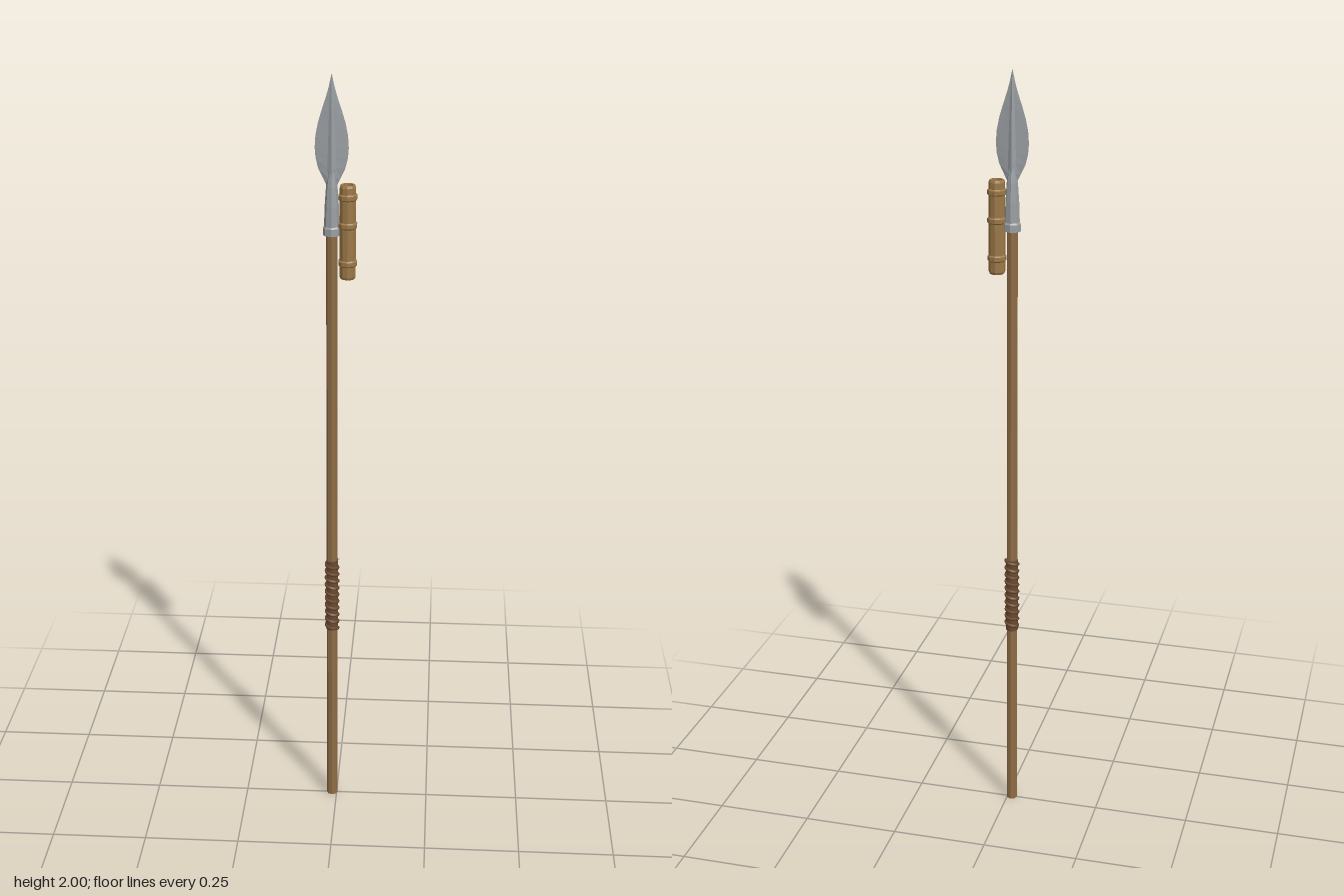
import * as THREE from 'three';

const mat = (color, opts = {}) => new THREE.MeshStandardMaterial({ color, ...opts });

function add(parent, name, geometry, material, y = 0) {
  const mesh = new THREE.Mesh(geometry, material);
  mesh.name = name;
  mesh.position.y = y;
  parent.add(mesh);
  return mesh;
}

const lathe = (pairs, sides) =>
  new THREE.LatheGeometry(pairs.map(([r, y]) => new THREE.Vector2(r, y)), sides);

// Leaf blade: thin ribbed cross-sections [height, half width, half thickness]
function bladeGeometry() {
  const sections = [
    [1.73, 0.011, 0.011], [1.75, 0.021, 0.0105], [1.775, 0.033, 0.01], [1.80, 0.039, 0.0095],
    [1.825, 0.041, 0.009], [1.855, 0.039, 0.008], [1.885, 0.033, 0.007], [1.915, 0.024, 0.006],
    [1.945, 0.014, 0.0045], [1.97, 0.007, 0.003], [2.0, 0.0005, 0.0005],
  ];
  const ring = ([y, w, t]) => {
    const r = Math.min(t, w * 0.4);
    return [[w, 0], [r, t * 0.4], [0, t], [-r, t * 0.4], [-w, 0], [-r, -t * 0.4], [0, -t], [r, -t * 0.4]]
      .map(([x, z]) => [x, y, z]);
  };
  const rings = sections.map(ring);
  const pos = [];
  for (let i = 0; i < rings.length - 1; i++) {
    for (let j = 0; j < 8; j++) {
      const k = (j + 1) % 8;
      const a = rings[i][j], b = rings[i][k], c = rings[i + 1][k], d = rings[i + 1][j];
      pos.push(...a, ...d, ...c, ...a, ...c, ...b);
    }
  }
  const g = new THREE.BufferGeometry();
  g.setAttribute('position', new THREE.Float32BufferAttribute(pos, 3));
  g.computeVertexNormals();
  return g;
}

// Cord wound in a rising spiral
class Helix extends THREE.Curve {
  constructor(radius, y0, y1, turns) {
    super();
    Object.assign(this, { radius, y0, y1, turns });
  }
  getPoint(t, target = new THREE.Vector3()) {
    const a = t * this.turns * Math.PI * 2;
    return target.set(Math.cos(a) * this.radius, this.y0 + (this.y1 - this.y0) * t, Math.sin(a) * this.radius);
  }
}

export function createModel() {
  const model = new THREE.Group();
  model.name = 'spear';
  const wood = mat(0x8f6d45, { flatShading: true });
  const cord = mat(0x6b4a30);
  const steel = mat(0x9a9fa3, { flatShading: true, side: THREE.DoubleSide });
  const bamboo = mat(0x9c7848, { flatShading: true, side: THREE.DoubleSide });

  const spear = new THREE.Group();
  spear.name = 'shaftAndHead';
  spear.position.x = -0.012;
  model.add(spear);

  // Wooden shaft
  add(spear, 'shaft', new THREE.CylinderGeometry(0.014, 0.0145, 1.68, 8), wood, 0.84);

  // Hand grip: wound cord over a thin sleeve
  add(spear, 'gripSleeve', new THREE.CylinderGeometry(0.016, 0.016, 0.205, 10), cord, 0.623);
  add(spear, 'gripCord', new THREE.TubeGeometry(new Helix(0.0155, 0.523, 0.723, 10), 200, 0.0045, 6), cord);

  // Metal socket with a collar at its mouth
  add(spear, 'socket', lathe([
    [0.014, 1.61], [0.022, 1.61], [0.022, 1.628], [0.019, 1.632],
    [0.0175, 1.68], [0.014, 1.73], [0.009, 1.765], [0.0005, 1.81],
  ], 8), steel);
  add(spear, 'blade', bladeGeometry(), steel);

  // Bamboo tube fixed beside the socket, with a recessed open top
  const tube = new THREE.Group();
  tube.name = 'bambooTube';
  tube.position.x = 0.027;
  model.add(tube);
  add(tube, 'tubeBody', lathe([
    [0, 1.5], [0.018, 1.5], [0.0205, 1.506], [0.0205, 1.729],
    [0.018, 1.735], [0.0135, 1.735], [0.0125, 1.715], [0, 1.715],
  ], 10), bamboo);
  for (const y of [1.54, 1.635, 1.705]) {
    add(tube, 'tubeBand', lathe([
      [0.0195, -0.009], [0.0238, -0.005], [0.0238, 0.005], [0.0195, 0.009],
    ], 10), bamboo, y);
  }
  return model;
}
